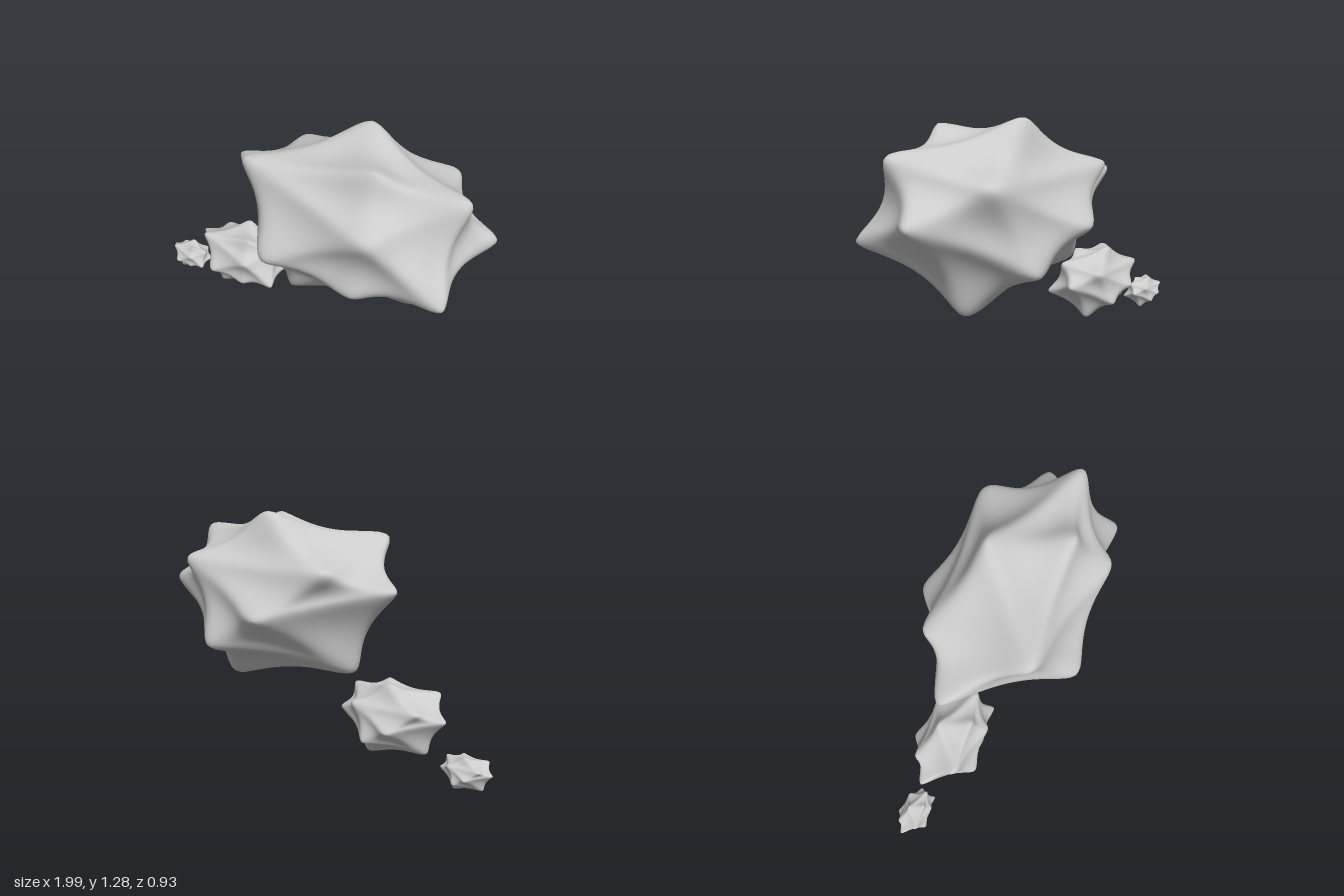
import * as THREE from 'three';
import { ConvexGeometry } from 'three/addons/geometries/ConvexGeometry.js';

// Ellipsoid that carries the spikes, in the frame of the large puff
const CENTER = new THREE.Vector3(0.27, 0.81, 0);
const RADII = new THREE.Vector3(0.73, 0.47, 0.47);
const STEPS = 20, DIP = 0.26, SMOOTHING = 8;

// Tips of the spikes
const TIPS = [
  [-0.45, 0.92, -0.05], [-0.15, 1.15, 0.29], [0.28, 1.28, -0.17], [0.51, 1.24, 0.19],
  [0.92, 1.15, 0.04], [0.99, 0.86, -0.17], [0.95, 0.71, 0.28], [0.61, 0.35, -0.1],
  [-0.18, 0.47, -0.04], [0.06, 0.74, 0.46], [0.51, 0.63, 0.35], [0.58, 0.98, 0.38],
  [0.12, 0.49, 0.28], [0.65, 1.03, -0.39], [0.46, 0.59, -0.45], [0.11, 0.77, -0.46],
  [-0.17, 1.02, -0.28],
].map((t) => new THREE.Vector3(...t).sub(CENTER).divide(RADII));

// Triangles that join neighbouring tips, as triples of tip numbers
function tipTriangles() {
  const dirs = TIPS.map((t) => t.clone().normalize());
  const hull = new ConvexGeometry(dirs).attributes.position;
  const v = new THREE.Vector3();
  const triangles = [];
  for (let i = 0; i < hull.count; i += 3) {
    triangles.push([0, 1, 2].map((k) => {
      v.fromBufferAttribute(hull, i + k);
      return dirs.findIndex((d) => d.distanceTo(v) < 1e-3);
    }));
  }
  return triangles;
}

// Split each triangle into a grid; every vertex keeps its weights per tip
function buildGrid() {
  const ids = new Map(), vertices = [], index = [];
  for (const tri of tipTriangles()) {
    const at = (i, j) => {
      const weights = [STEPS - i - j, i, j].map((w, k) => [tri[k], w])
        .filter(([, w]) => w > 0).sort((a, b) => a[0] - b[0]);
      const key = weights.join(';');
      if (!ids.has(key)) {
        ids.set(key, vertices.length);
        vertices.push({ weights, near: new Set() });
      }
      return ids.get(key);
    };
    for (let i = 0; i < STEPS; i++) {
      for (let j = 0; i + j < STEPS; j++) {
        index.push(at(i, j), at(i + 1, j), at(i, j + 1));
        if (i + j < STEPS - 1) index.push(at(i + 1, j), at(i + 1, j + 1), at(i, j + 1));
      }
    }
  }
  for (let i = 0; i < index.length; i += 3) {
    const [a, b, c] = index.slice(i, i + 3);
    vertices[a].near.add(b).add(c);
    vertices[b].near.add(a).add(c);
    vertices[c].near.add(a).add(b);
  }
  return { vertices, index };
}

// Span the grid between the tips, sag it between them and round it off
function shape(vertices, tips) {
  let points = vertices.map(({ weights }) => {
    const p = new THREE.Vector3();
    let squares = 0;
    for (const [tip, w] of weights) {
      p.addScaledVector(tips[tip], w / STEPS);
      squares += (w / STEPS) ** 2;
    }
    return p.multiplyScalar(1 - DIP * (1 - squares));
  });
  for (let n = 0; n < SMOOTHING; n++) {
    points = points.map((p, i) => {
      const mean = new THREE.Vector3();
      for (const k of vertices[i].near) mean.add(points[k]);
      return mean.divideScalar(vertices[i].near.size).lerp(p, 0.5);
    });
  }
  return points;
}

function puffGeometry() {
  const { vertices, index } = buildGrid();
  const tips = TIPS.map((t) => t.clone());
  let points = shape(vertices, tips);
  // Lengthen the tips by what the rounding takes away
  for (let n = 0; n < 5; n++) {
    vertices.forEach(({ weights }, i) => {
      const tip = weights[0][0];
      if (weights.length === 1) tips[tip].add(TIPS[tip]).sub(points[i]);
    });
    points = shape(vertices, tips);
  }
  const geo = new THREE.BufferGeometry().setFromPoints(points.map((p) => p.multiply(RADII)));
  geo.setIndex(index);
  geo.computeVertexNormals();
  return geo;
}

export function createModel() {
  const group = new THREE.Group();
  group.name = 'thoughtBubble';
  const geo = puffGeometry();
  const material = new THREE.MeshStandardMaterial({ color: 0xcccccc });

  // The same puff at three sizes, trailing down to one side
  const puffs = [
    ['largePuff', 1, CENTER.toArray()],
    ['mediumPuff', 0.417, [-0.44, 0.272, -0.013]],
    ['smallPuff', 0.19, [-0.863, 0.091, -0.02]],
  ];
  for (const [name, scale, position] of puffs) {
    const mesh = new THREE.Mesh(geo, material);
    mesh.name = name;
    mesh.scale.setScalar(scale);
    mesh.position.set(...position);
    group.add(mesh);
  }
  return group;
}
